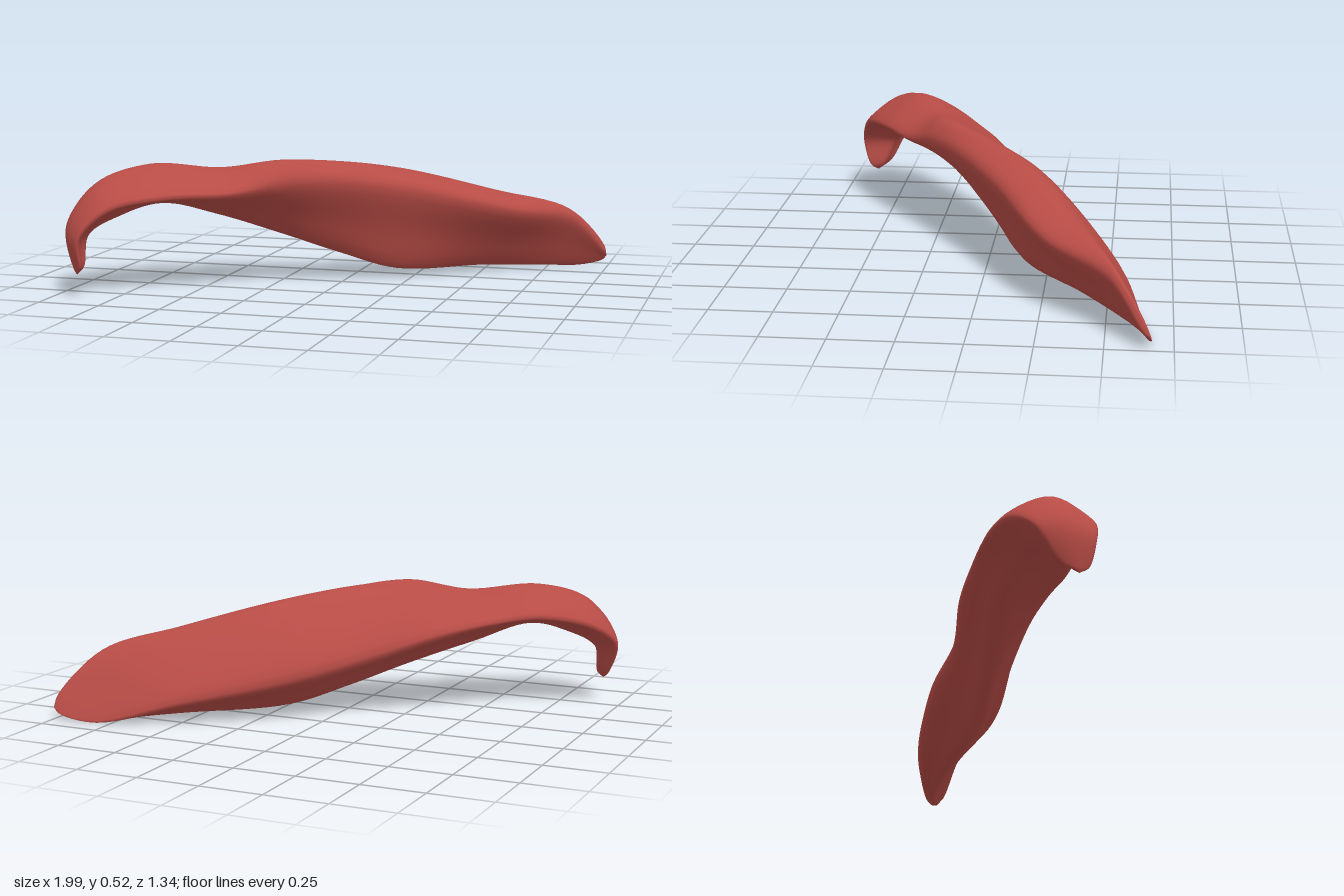
import * as THREE from 'three';

// An end of the pod, where the whole cross-section shrinks to a point.
const tip = (u, v, y) => Array(4).fill([u, v, y]);

// Cross-sections from the hooked end to the flat end: back edge, ridge, front edge, keel.
// Each point is [along, across, height].
const SECTIONS = [
  tip(-1.09, 0.02, 0.09),
  [[-1.09, -0.05, 0.13], [-1.1, 0.01, 0.11], [-1.085, 0.06, 0.12], [-1.06, 0.01, 0.12]],
  [[-1.09, -0.14, 0.26], [-1.12, -0.03, 0.27], [-1.09, 0.09, 0.24], [-1.03, -0.04, 0.24]],
  [[-0.97, -0.2, 0.35], [-1, -0.04, 0.44], [-0.98, 0.12, 0.35], [-0.9, -0.04, 0.31]],
  [[-0.74, -0.23, 0.4], [-0.78, -0.05, 0.51], [-0.76, 0.14, 0.39], [-0.74, -0.06, 0.35]],
  [[-0.5, -0.24, 0.38], [-0.5, -0.02, 0.49], [-0.5, 0.14, 0.39], [-0.5, -0.1, 0.29]],
  [[-0.3, -0.24, 0.34], [-0.27, 0.05, 0.52], [-0.31, 0.13, 0.41], [-0.23, -0.07, 0.2]],
  [[-0.05, -0.21, 0.26], [-0.03, 0.01, 0.5], [-0.09, 0.12, 0.42], [0.02, -0.05, 0.11]],
  [[0.27, -0.24, 0.18], [0.28, -0.04, 0.45], [0.25, 0.12, 0.38], [0.25, -0.03, 0.04]],
  [[0.73, -0.2, 0.09], [0.68, -0.01, 0.35], [0.69, 0.14, 0.28], [0.66, -0.06, 0.03]],
  [[1.03, -0.1, 0.01], [1, 0.02, 0.26], [1.01, 0.05, 0.21], [1.03, -0.06, 0.02]],
  [[1.18, -0.03, 0.03], [1.18, 0, 0.1], [1.18, 0.01, 0.07], [1.18, -0.02, 0.03]],
  tip(1.2, -0.01, 0.05),
];

// Swelling of each face between two edges: rounded above, flat below.
const SWELL = [0.25, 0.2, 0, 0.05];

// The pod lies diagonally on the ground plane.
const toWorld = ([u, v, y]) =>
  new THREE.Vector3(u * 0.837 + v * 0.547, y, -u * 0.547 + v * 0.837);

// One closed outline through four edges, with a swollen midpoint on each face
function outline(corners) {
  const centre = corners.reduce((sum, c) => sum.add(c), new THREE.Vector3()).divideScalar(4);
  const points = corners.flatMap((corner, k) => {
    const middle = corner.clone().lerp(corners[(k + 1) % 4], 0.5);
    return [corner, middle.lerp(centre, -SWELL[k])];
  });
  return new THREE.CatmullRomCurve3(points, true, 'catmullrom', 0.5);
}

function buildPod(rings, sides) {
  // Four smooth guide curves run lengthwise through the sections
  const guides = [0, 1, 2, 3].map(
    (k) => new THREE.CatmullRomCurve3(SECTIONS.map((s) => toWorld(s[k])))
  );
  const positions = [];
  for (let i = 0; i <= rings; i++) {
    const loop = outline(guides.map((g) => g.getPoint(i / rings)));
    for (let j = 0; j < sides; j++) {
      const p = loop.getPoint(j / sides);
      positions.push(p.x, Math.max(p.y, 0), p.z);
    }
  }
  const index = [];
  for (let i = 0; i < rings; i++) {
    for (let j = 0; j < sides; j++) {
      const a = i * sides + j;
      const b = i * sides + ((j + 1) % sides);
      index.push(a, b, a + sides, b, b + sides, a + sides);
    }
  }
  const geometry = new THREE.BufferGeometry();
  geometry.setAttribute('position', new THREE.Float32BufferAttribute(positions, 3));
  geometry.setIndex(index);
  geometry.computeVertexNormals();
  return geometry;
}

export function createModel() {
  const group = new THREE.Group();
  group.name = 'driedPepper';
  const red = new THREE.MeshStandardMaterial({ color: 0xb84c46 });
  red.name = 'dusty red';
  const pod = new THREE.Mesh(buildPod(96, 32), red);
  pod.name = 'curvedPod';
  group.add(pod);
  return group;
}
